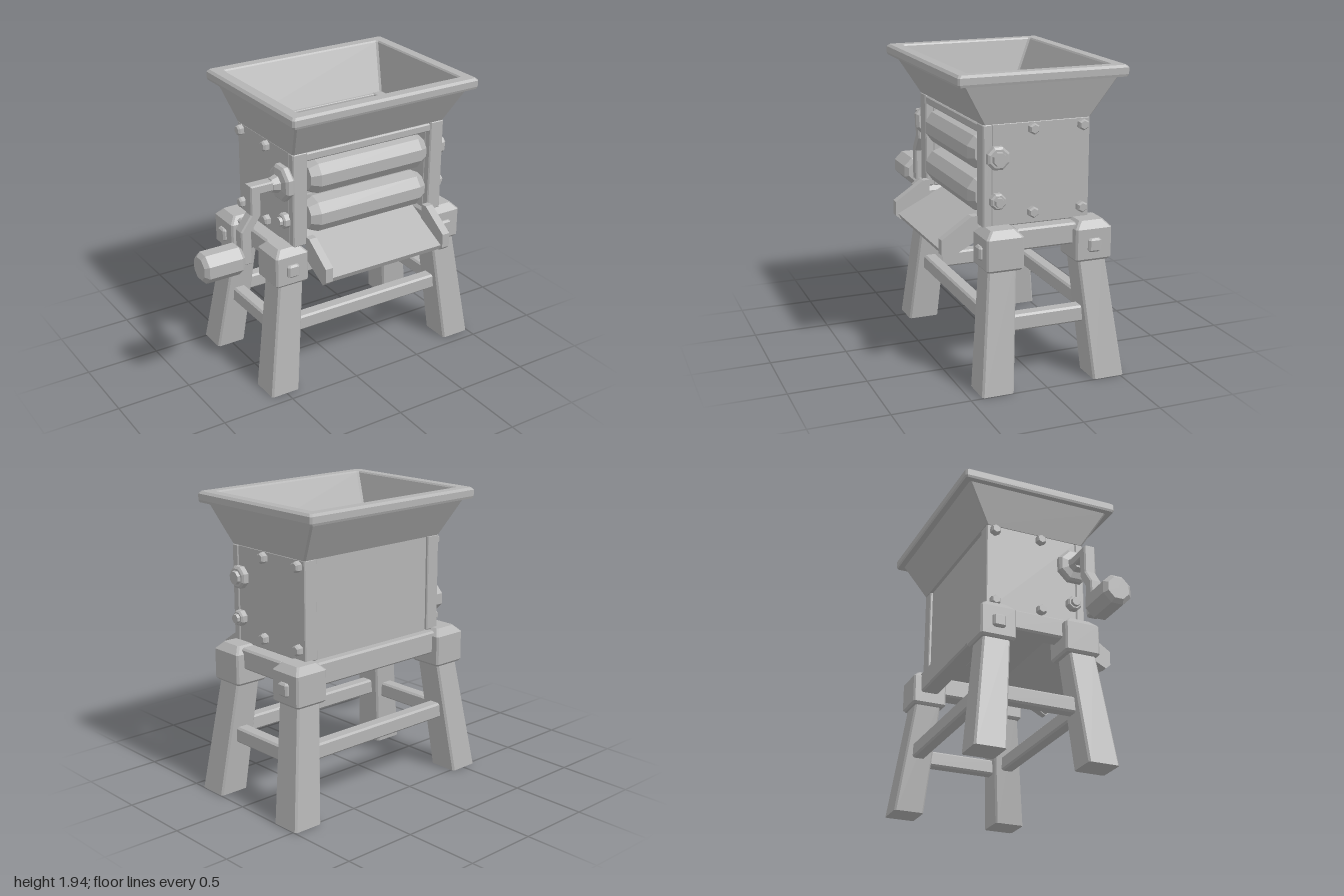
import * as THREE from 'three';

const steel = new THREE.MeshStandardMaterial({ color: 0xb4b4b4 });
steel.name = 'plain grey';

// Lofts bevelled rectangles [y, centreX, centreZ, width, depth] from bottom to top.
function loft(sections, bevel, closed = false) {
  const rings = sections.map(([y, cx, cz, w, d]) => {
    const u = w / 2, v = d / 2, b = bevel;
    return [[u, v - b], [u - b, v], [b - u, v], [-u, v - b], [-u, b - v], [b - u, -v], [u - b, -v], [u, b - v]]
      .map(([x, z]) => new THREE.Vector3(cx + x, y, cz - z));
  });
  const pts = [];
  const n = rings.length;
  for (let k = 0; k < (closed ? n : n - 1); k++) {
    const a = rings[k], b = rings[(k + 1) % n];
    for (let i = 0; i < 8; i++) {
      const j = (i + 1) % 8;
      pts.push(a[i], a[j], b[j], a[i], b[j], b[i]);
    }
  }
  if (!closed) {
    for (let i = 1; i < 7; i++) {
      pts.push(rings[0][0], rings[0][i + 1], rings[0][i]);
      pts.push(rings[n - 1][0], rings[n - 1][i], rings[n - 1][i + 1]);
    }
  }
  const g = new THREE.BufferGeometry().setFromPoints(pts);
  g.computeVertexNormals();
  return g;
}

// Box with chamfered edges
function chamferBox(w, h, d, b) {
  return loft([
    [-h / 2, 0, 0, w - 2 * b, d - 2 * b], [b - h / 2, 0, 0, w, d],
    [h / 2 - b, 0, 0, w, d], [h / 2, 0, 0, w - 2 * b, d - 2 * b],
  ], b);
}

// Faceted turning along x from [x, radius] steps
function turnX(steps, sides) {
  const profile = steps.map(([x, r]) => new THREE.Vector2(r, x));
  const g = new THREE.LatheGeometry(profile, sides, Math.PI / sides).toNonIndexed();
  g.computeVertexNormals();
  return g.rotateZ(-Math.PI / 2);
}

// Side profile of [z, y] points extruded along x
function extrudeX(points, x, width) {
  const shape = new THREE.Shape(points.map(([z, y]) => new THREE.Vector2(z, y)));
  const g = new THREE.ExtrudeGeometry(shape, { depth: width, bevelEnabled: false });
  return g.rotateY(-Math.PI / 2).translate(x + width / 2, 0, 0);
}

export function createModel() {
  const root = new THREE.Group();
  root.name = 'rollerMill';
  const mill = new THREE.Group();
  mill.name = 'mill';
  mill.position.x = 0.195;
  root.add(mill);

  const add = (name, geometry, x = 0, y = 0, z = 0) => {
    const m = new THREE.Mesh(geometry, steel);
    m.name = name;
    m.position.set(x, y, z);
    mill.add(m);
    return m;
  };
  // Chamfered box from its limits
  const box = (name, x0, x1, y0, y1, z0, z1, b = 0.008) =>
    add(name, chamferBox(x1 - x0, y1 - y0, z1 - z0, b), (x0 + x1) / 2, (y0 + y1) / 2, (z0 + z1) / 2);

  // Hopper: outer wall, rim, then inner wall
  const hz = -0.018;
  add('hopper', loft([
    [1.62, 0, hz, 1.15, 0.697], [1.87, 0, hz, 1.29, 1.0],
    [1.87, 0, hz, 1.37, 1.08], [1.885, 0, hz, 1.38, 1.092], [1.925, 0, hz, 1.38, 1.092],
    [1.94, 0, hz, 1.35, 1.062], [1.94, 0, hz, 1.22, 0.93], [1.93, 0, hz, 1.205, 0.915],
    [1.62, 0, hz, 1.09, 0.637],
  ], 0.012, true));

  // Body
  box('backPanel', -0.48, 0.48, 0.98, 1.62, -0.345, -0.315, 0.004);
  box('floor', -0.48, 0.48, 0.975, 1.0, -0.33, 0.16, 0.004);
  box('frontTopBar', -0.48, 0.48, 1.555, 1.61, 0.275, 0.325);

  for (const s of [-1, 1]) {
    const span = (a, b) => (s > 0 ? [a, b] : [-b, -a]);
    box('sidePanel', ...span(0.475, 0.573), 0.99, 1.622, -0.364, 0.276, 0.006);
    box('frontPost', ...span(0.472, 0.576), 0.99, 1.622, 0.274, 0.333, 0.008);

    // Hex bolts on the side panels
    for (const y of [1.58, 1.065]) for (const z of [0.015, -0.31]) {
      const bolt = add('sideBolt', turnX([[0, 0], [0, 0.036], [0.03, 0.036], [0.042, 0.026], [0.042, 0]], 6), s * 0.572, y, z);
      if (s < 0) bolt.rotation.y = Math.PI;
    }

    // Roller bearings
    for (const [y, r] of [[1.42, 0.075], [1.155, 0.052]]) {
      const cap = add('bearingCap', turnX([[0, 0], [0, r], [0.035, r], [0.045, r * 0.8],
        [0.045, r * 0.62], [0.065, r * 0.56], [0.065, 0]], 8), s * 0.572, y, 0.246);
      if (s < 0) cap.rotation.y = Math.PI;
    }

    // Chute cheeks
    add('chuteCheek', extrudeX([[0.325, 0.895], [0.53, 0.79], [0.564, 0.82], [0.564, 0.915], [0.37, 1.045], [0.325, 1.045]],
      s * 0.457, 0.055));

    // Legs, corner blocks and their square studs
    for (const front of [true, false]) {
      const bz = front ? 0.243 : -0.338;
      add('leg', loft([
        [0, s * 0.7, front ? 0.322 : -0.42, 0.205, 0.207],
        [0.8, s * 0.598, front ? 0.25 : -0.334, 0.175, 0.182],
      ], 0.012));
      add('cornerBlock', loft([
        [0.75, s * 0.602, bz, 0.21, 0.215], [0.765, s * 0.602, bz, 0.236, 0.24],
        [0.955, s * 0.602, bz, 0.236, 0.24], [1.0, s * 0.602, bz, 0.15, 0.155],
      ], 0.012));
      if (front) add('blockStud', chamferBox(0.086, 0.086, 0.05, 0.012), s * 0.602, 0.855, 0.36);
      else add('blockStud', chamferBox(0.05, 0.086, 0.086, 0.012), s * 0.718, 0.855, bz);
    }

    // Side rail and lower side stretcher
    box('sideRail', ...span(0.535, 0.665), 0.855, 0.99, -0.25, 0.16, 0.012);
    box('sideStretcher', ...span(0.6, 0.69), 0.35, 0.455, -0.33, 0.23, 0.012);
  }
  box('backRail', -0.52, 0.52, 0.835, 0.985, -0.405, -0.275, 0.012);
  box('frontStretcher', -0.6, 0.6, 0.372, 0.475, 0.24, 0.33, 0.012);
  box('backStretcher', -0.6, 0.6, 0.372, 0.475, -0.425, -0.335, 0.012);

  // Rollers on their shafts
  for (const y of [1.42, 1.155]) {
    add('roller', turnX([[-0.445, 0], [-0.445, 0.09], [-0.385, 0.122], [0.385, 0.122], [0.445, 0.09], [0.445, 0]], 10), 0, y, 0.246);
    add('rollerShaft', turnX([[-0.5, 0], [-0.5, 0.035], [0.5, 0.035], [0.5, 0]], 8), 0, y, 0.246);
  }

  // Sloping chute plate
  add('chutePlate', extrudeX([[0.15, 0.985], [0.53, 0.797], [0.548, 0.833], [0.15, 1.03]], 0, 0.87));

  // Crank hub, bent arm and grip
  add('crankHub', turnX([[-0.69, 0], [-0.69, 0.045], [-0.645, 0.06], [-0.635, 0.105], [-0.62, 0.122],
    [-0.59, 0.122], [-0.572, 0.105], [-0.572, 0]], 8), 0, 1.42, 0.246);
  const arm = new THREE.Shape([
    [-0.66, 1.455], [-0.845, 1.455], [-0.845, 1.265], [-0.918, 1.165], [-0.918, 0.935],
    [-0.845, 0.935], [-0.845, 1.15], [-0.775, 1.25], [-0.775, 1.392], [-0.66, 1.392],
  ].map(([x, y]) => new THREE.Vector2(x, y)));
  add('crankArm', new THREE.ExtrudeGeometry(arm, {
    depth: 0.06, bevelEnabled: true, bevelSegments: 1, bevelThickness: 0.01, bevelSize: 0.008, bevelOffset: -0.008,
  }), 0, 0, 0.212);
  add('crankGrip', turnX([[-1.195, 0], [-1.195, 0.075], [-1.17, 0.102], [-0.94, 0.102], [-0.913, 0.075], [-0.913, 0]], 8), 0, 0.982, 0.243);

  return root;
}
